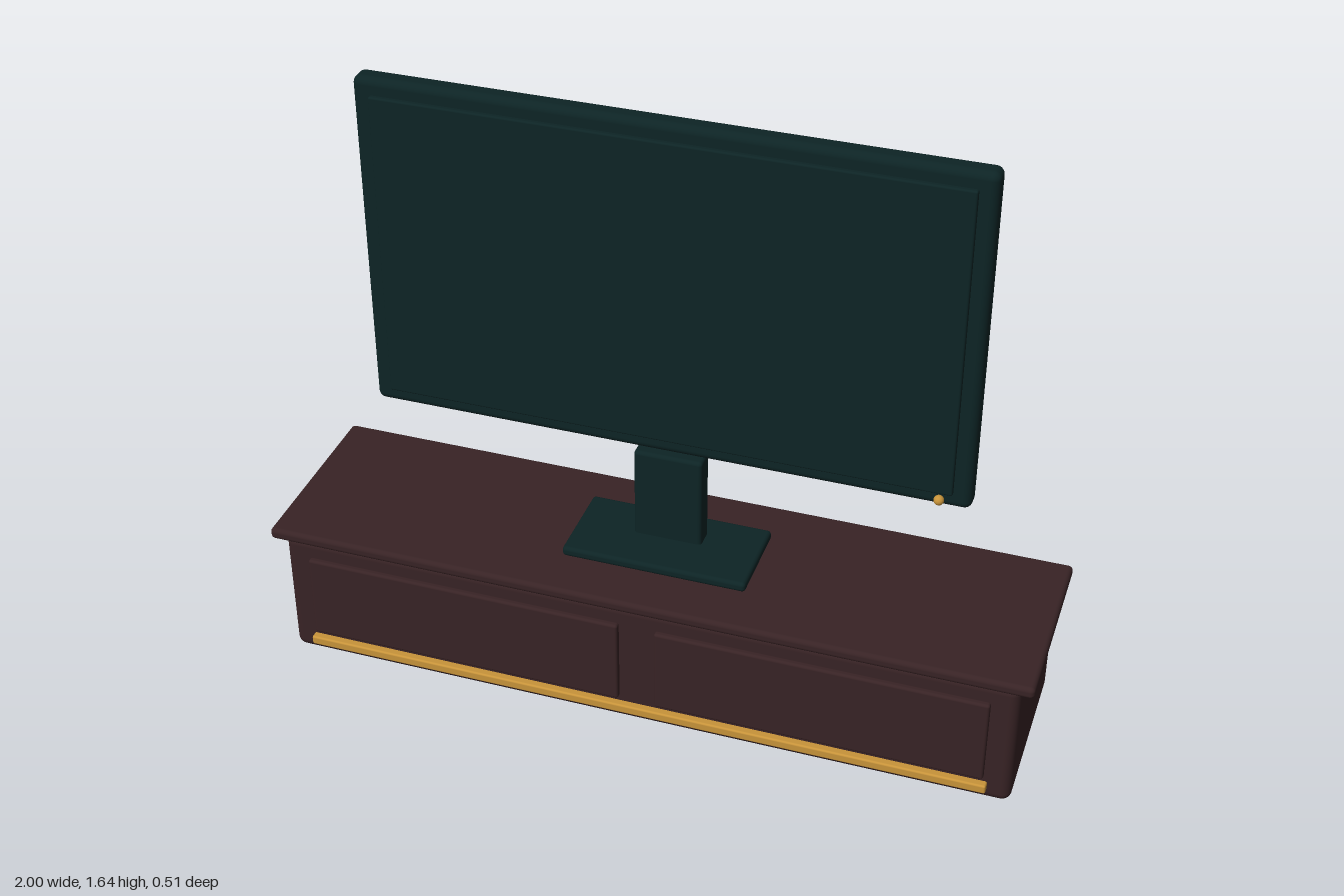
import * as THREE from 'three';
import { RoundedBoxGeometry } from 'three/addons/geometries/RoundedBoxGeometry.js';

export function createModel() {
  const model = new THREE.Group();
  model.name = 'televisionOnCabinet';

  const material = (name, color) => {
    const m = new THREE.MeshStandardMaterial({ color });
    m.name = name;
    return m;
  };
  const wood = material('dark wood', 0x382325);
  const casing = material('dark teal plastic', 0x0d2425);
  const brass = material('brass', 0xc8943a);

  const add = (parent, name, geometry, mat, x, y, z) => {
    const mesh = new THREE.Mesh(geometry, mat);
    mesh.name = name;
    mesh.position.set(x, y, z);
    parent.add(mesh);
    return mesh;
  };

  // Rounded block given by its limits on each axis
  const block = (parent, name, mat, [x0, x1], [y0, y1], [z0, z1], radius) =>
    add(parent, name, new RoundedBoxGeometry(x1 - x0, y1 - y0, z1 - z0, 4, radius), mat,
      (x0 + x1) / 2, (y0 + y1) / 2, (z0 + z1) / 2);

  // Cabinet: body, overhanging top, drawer fronts, brass rail and feet
  const cabinet = new THREE.Group();
  cabinet.name = 'cabinet';
  block(cabinet, 'cabinetBody', wood, [-0.967, 0.967], [0.03, 0.395], [-0.24, 0.24], 0.025);
  block(cabinet, 'cabinetTop', wood, [-1, 1], [0.388, 0.42], [-0.255, 0.255], 0.012);
  block(cabinet, 'brassRail', brass, [-0.908, 0.908], [0.064, 0.089], [0.235, 0.26], 0.005);
  for (const side of [-1, 1]) {
    const label = side > 0 ? 'left' : 'right';
    block(cabinet, label + 'DrawerFront', wood,
      [side * 0.473 - 0.425, side * 0.473 + 0.425], [0.104, 0.342], [0.235, 0.255], 0.007);
    add(cabinet, label + 'Foot', new THREE.CylinderGeometry(0.023, 0.023, 0.04, 20),
      casing, side * 0.88, 0.02, 0);
  }

  // Stand: flat base and upright neck
  const stand = new THREE.Group();
  stand.name = 'stand';
  block(stand, 'standBase', casing, [-0.243, 0.243], [0.419, 0.446], [-0.12, 0.12], 0.01);
  block(stand, 'standNeck', casing, [-0.09, 0.09], [0.43, 0.698], [-0.06, 0], 0.01);

  // Television: casing, display panel and indicator light
  const television = new THREE.Group();
  television.name = 'television';
  block(television, 'screenCasing', casing, [-0.772, 0.772], [0.733, 1.638], [-0.03, 0.03], 0.02);
  block(television, 'displayPanel', casing, [-0.727, 0.727], [0.775, 1.596], [0.022, 0.042], 0.005);
  add(television, 'indicatorLight', new THREE.SphereGeometry(0.013, 16, 12), brass, 0.695, 0.756, 0.038);

  model.add(cabinet, stand, television);
  return model;
}
